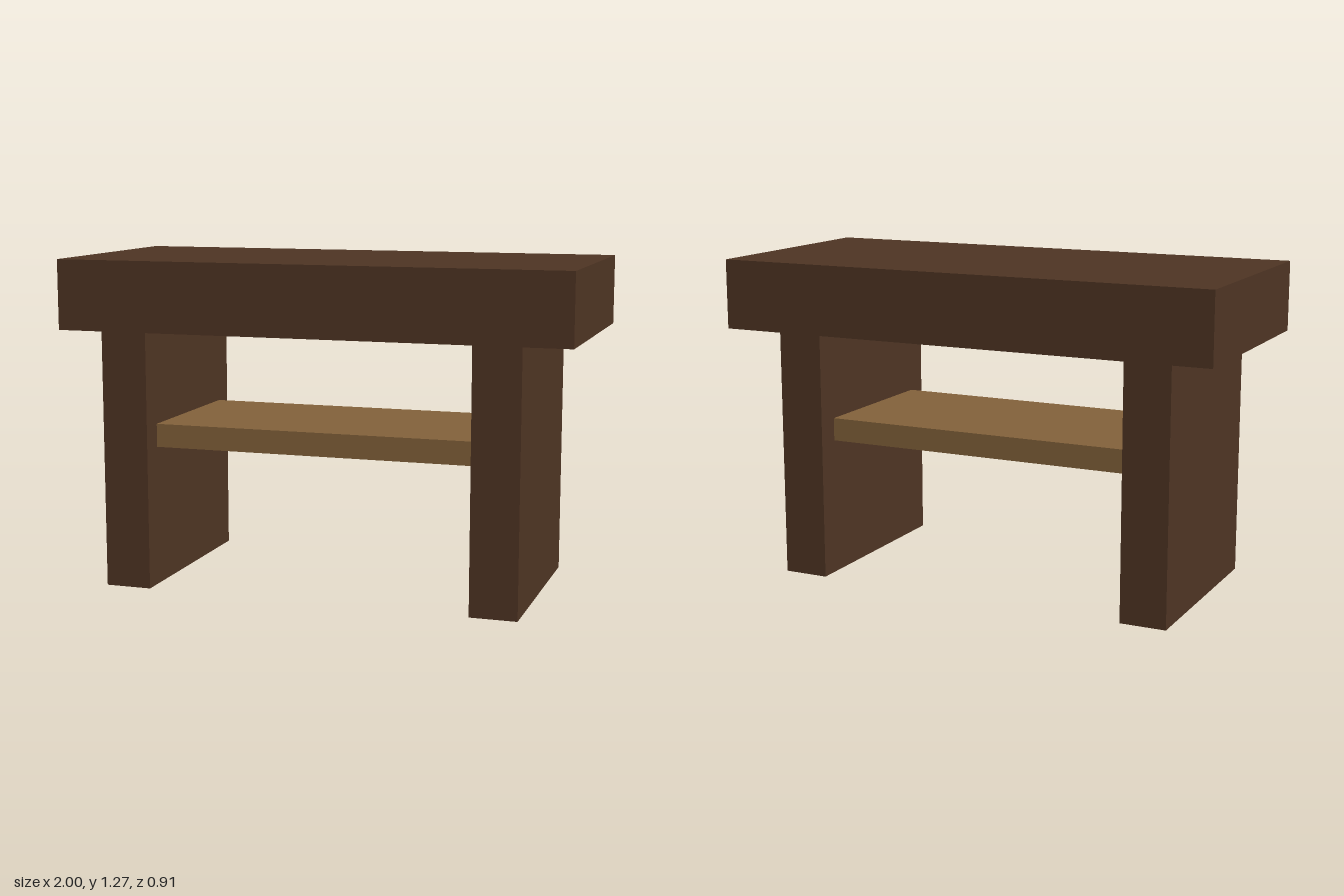
import * as THREE from 'three';

const U = 1 / 11; // module size: the top is 22 modules long

export function createModel() {
  const model = new THREE.Group();
  model.name = 'bench';

  const darkWood = new THREE.MeshStandardMaterial({ color: 0x4e3423, side: THREE.DoubleSide });
  darkWood.name = 'dark wood';
  const lightWood = new THREE.MeshStandardMaterial({ color: 0x82613a });
  lightWood.name = 'light wood';

  // Box given by its minimum and maximum corners, in modules
  function addBox(name, material, [x0, y0, z0], [x1, y1, z1]) {
    const geometry = new THREE.BoxGeometry((x1 - x0) * U, (y1 - y0) * U, (z1 - z0) * U);
    const mesh = new THREE.Mesh(geometry, material);
    mesh.position.set((x0 + x1) / 2 * U, (y0 + y1) / 2 * U, (z0 + z1) / 2 * U);
    mesh.name = name;
    model.add(mesh);
    return mesh;
  }

  // Thick top slab
  addBox('top', darkWood, [-11, 11, -5], [11, 14, 5]);

  // Panel legs, flush with the front edge and hollow underneath
  for (const [name, x] of [['leftLeg', 7], ['rightLeg', -9]]) {
    const { geometry } = addBox(name, darkWood, [x, 0, -4], [x + 2, 11, 5]);
    const index = Array.from(geometry.index.array);
    index.splice(18, 6); // leave out the bottom face
    geometry.setIndex(index);
    geometry.clearGroups();
  }

  // Shelf between the legs
  addBox('shelf', lightWood, [-7, 6, -3], [7, 7, 4]);

  return model;
}
